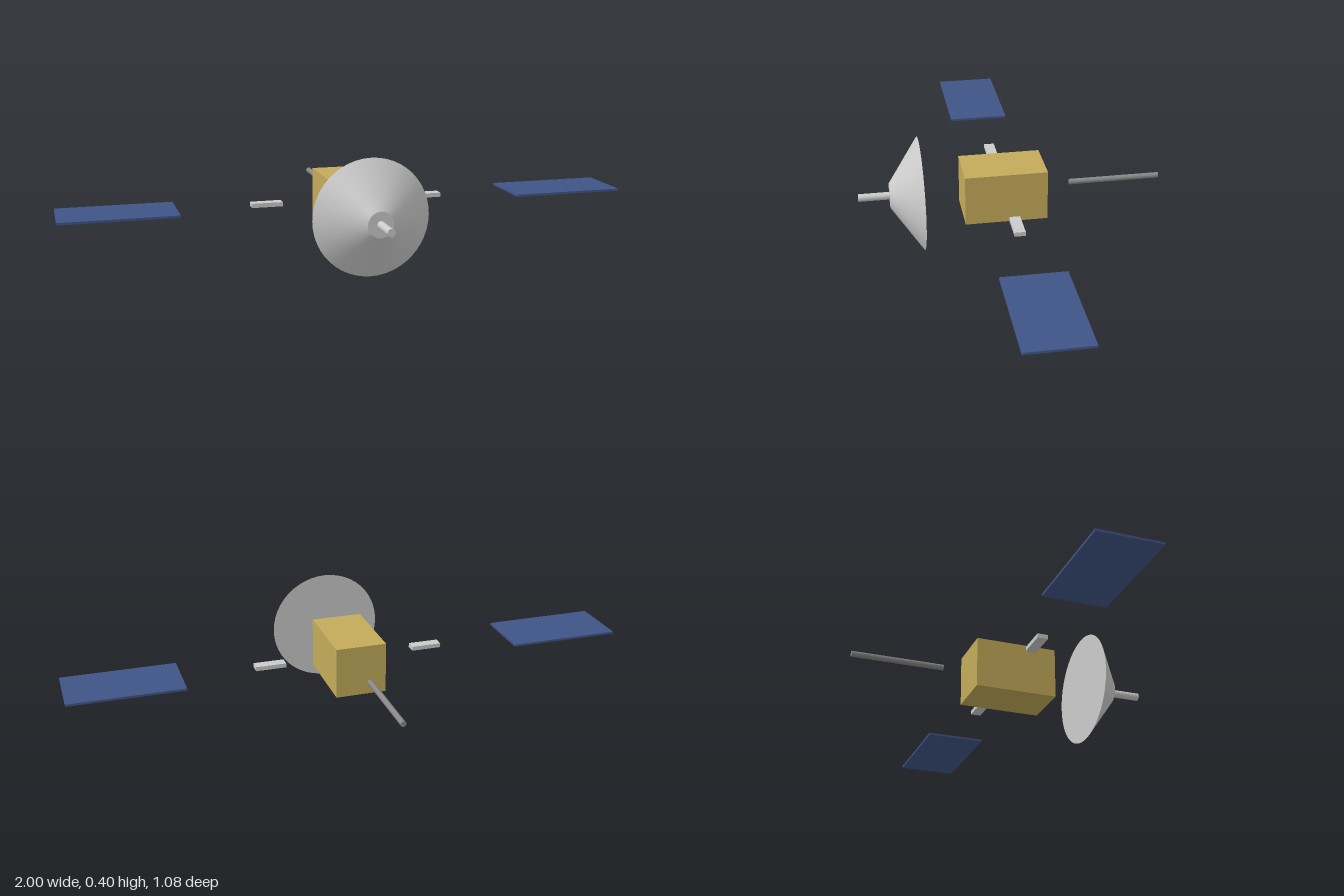
import * as THREE from 'three';

const AXIS_Y = 0.2;   // height of the spacecraft's long axis
const BODY_Z = 0.029; // centre of the body along z

export function createModel() {
  const model = new THREE.Group();
  model.name = 'satellite';

  const grey = new THREE.MeshStandardMaterial({ color: 0xcccccc });
  const gold = new THREE.MeshStandardMaterial({ color: 0xc4ab5a });
  const blue = new THREE.MeshStandardMaterial({ color: 0x405588 });
  const darkGrey = new THREE.MeshStandardMaterial({ color: 0x888888 });

  const add = (name, geometry, material, x, z) => {
    const mesh = new THREE.Mesh(geometry, material);
    mesh.name = name;
    mesh.position.set(x, AXIS_Y, z);
    model.add(mesh);
  };

  // Round part along z, from zBack to zFront
  const addRound = (name, rFront, rBack, zBack, zFront, sides, material) => {
    const geometry = new THREE.CylinderGeometry(rFront, rBack, zFront - zBack, sides);
    geometry.rotateX(Math.PI / 2);
    add(name, geometry, material, 0, (zBack + zFront) / 2);
  };

  // Main body
  add('body', new THREE.BoxGeometry(0.18, 0.18, 0.29), gold, 0, BODY_Z);

  // Solar panels and their short connecting arms, floating on both sides
  for (const [side, s] of [['left', 1], ['right', -1]]) {
    add(`${side}SolarPanel`, new THREE.BoxGeometry(0.4, 0.008, 0.218), blue, s * 0.8, BODY_Z);
    add(`${side}PanelArm`, new THREE.BoxGeometry(0.108, 0.015, 0.037), grey, s * 0.289, BODY_Z - 0.003);
  }

  // Dish: a solid truncated cone, narrow end forward, with its feed horn
  addRound('dish', 0.044, 0.2, 0.32, 0.428, 48, grey);
  addRound('feedHorn', 0.0135, 0.0135, 0.428, 0.538, 16, grey);

  // Rear antenna mast
  addRound('antennaMast', 0.01, 0.01, -0.538, -0.211, 12, darkGrey);

  return model;
}
